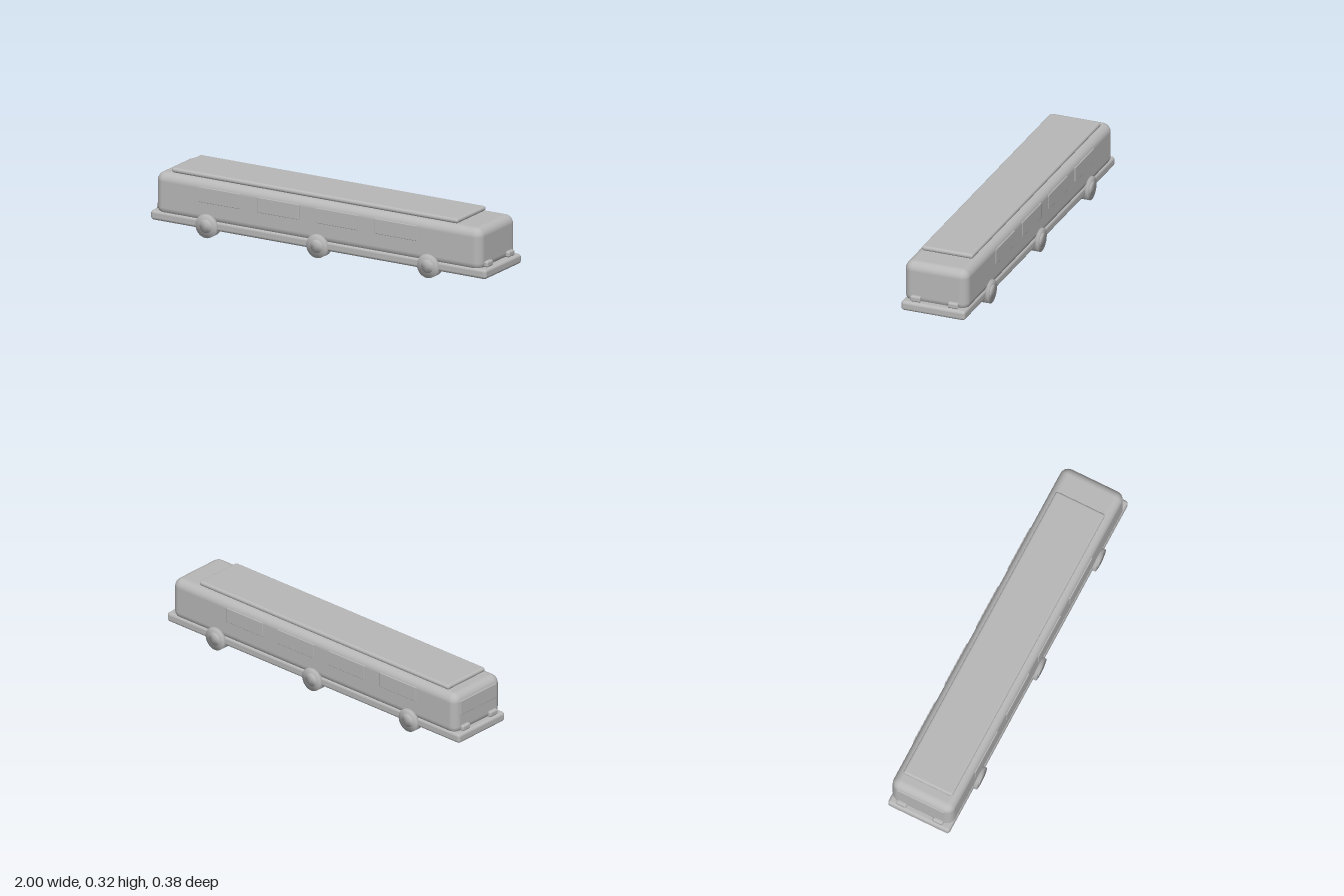
import * as THREE from 'three';
import { RoundedBoxGeometry } from 'three/addons/geometries/RoundedBoxGeometry.js';

const grey = new THREE.MeshStandardMaterial({ color: 0xb8b8b8 });
grey.name = 'plain grey';

export function createModel() {
  const bus = new THREE.Group();
  bus.name = 'bus';

  const add = (name, geometry, x, y, z) => {
    const mesh = new THREE.Mesh(geometry, grey);
    mesh.name = name;
    mesh.position.set(x, y, z);
    bus.add(mesh);
    return mesh;
  };

  // Rounded box given by its lower and upper limits on each axis
  const block = (name, [x0, x1], [y0, y1], [z0, z1], radius, segments = 3) =>
    add(name, new RoundedBoxGeometry(x1 - x0, y1 - y0, z1 - z0, segments, radius),
      (x0 + x1) / 2, (y0 + y1) / 2, (z0 + z1) / 2);

  // Hull
  block('chassis', [-1, 1], [0.04, 0.092], [-0.175, 0.175], 0.016);
  block('body', [-0.973, 0.967], [0.07, 0.298], [-0.175, 0.175], 0.046, 4);
  block('roofPanel', [-0.895, 0.81], [0.297, 0.323], [-0.14, 0.14], 0.0125);

  // Side windows, four on each side, and one window across the rear end
  for (const side of [-1, 1]) {
    for (let i = 0; i < 4; i++) {
      add('sideWindow', new RoundedBoxGeometry(0.25, 0.08, 0.009, 2, 0.003),
        -0.585 + i * 0.35, 0.222, side * 0.1745);
    }
  }
  add('endWindow', new RoundedBoxGeometry(0.009, 0.08, 0.27, 2, 0.003), -0.973, 0.222, 0);

  // Lamps at both ends, resting on the chassis
  for (const x of [-0.972, 0.968]) {
    for (const side of [-1, 1]) {
      add('lamp', new RoundedBoxGeometry(0.036, 0.031, 0.057, 3, 0.009), x, 0.107, side * 0.103);
    }
  }

  // Softly shaded wheels with hub caps; the lathe axis points outward
  const disc = (radius, from, to) => new THREE.LatheGeometry(
    [[0, from], [radius, from], [radius, to], [0, to]].map(([r, h]) => new THREE.Vector2(r, h)), 32);
  const tyre = disc(0.062, 0.138, 0.187);
  const hub = disc(0.035, 0.15, 0.19);
  for (const x of [-0.66, 0, 0.66]) {
    for (const side of [-1, 1]) {
      add('tyre', tyre, x, 0.062, 0).rotation.x = side * Math.PI / 2;
      add('hubCap', hub, x, 0.062, 0).rotation.x = side * Math.PI / 2;
    }
  }

  return bus;
}
